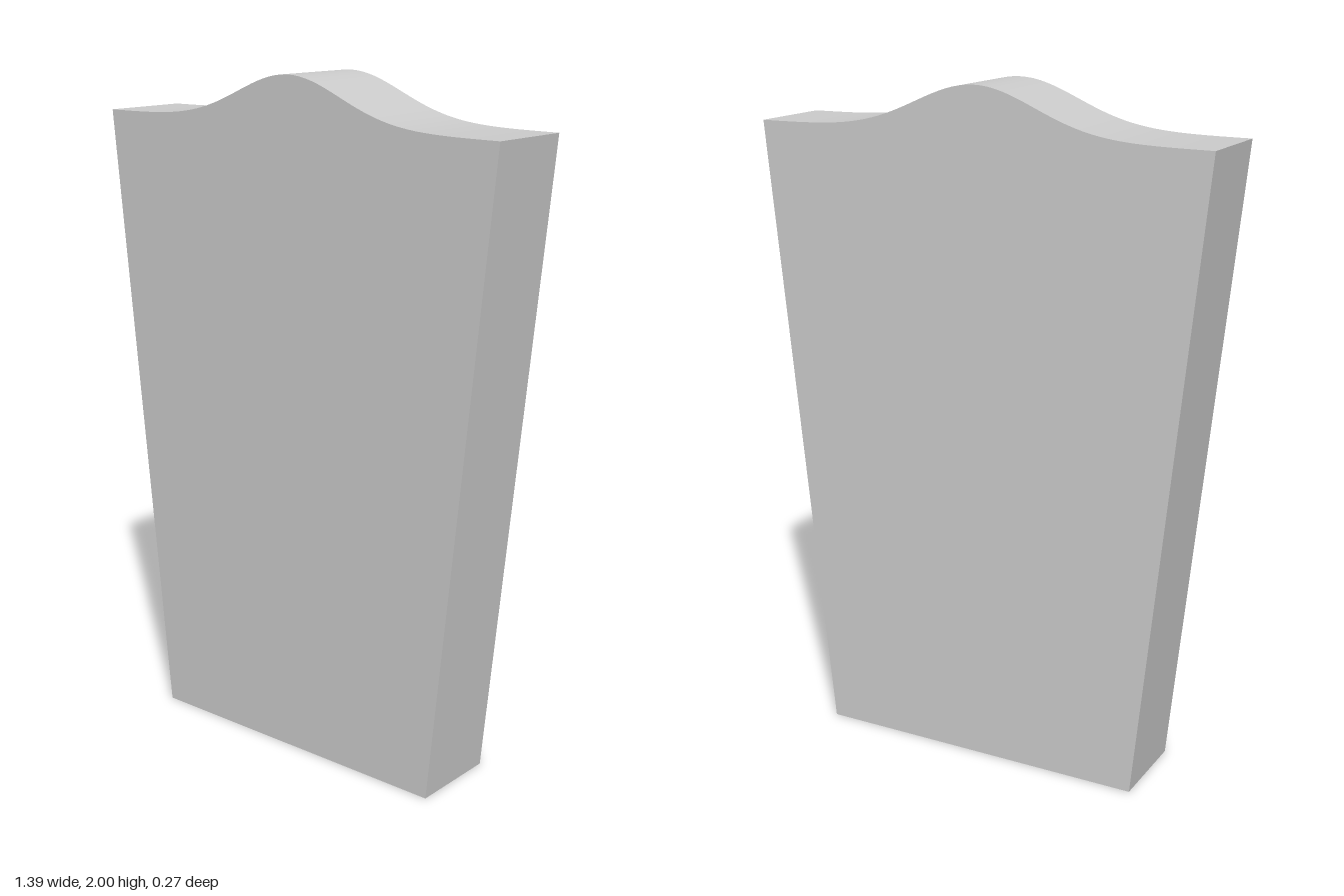
import * as THREE from 'three';
import { toCreasedNormals } from 'three/addons/utils/BufferGeometryUtils.js';

const TOP = 0.695, BOTTOM = 0.508, SHOULDER = 1.868, DEPTH = 0.272;

// Height of the crest: a smooth bell rising from flat shoulders
const crest = (x) => SHOULDER + (2 - SHOULDER) * Math.exp(-(x * x) / 0.067);

export function createModel() {
  const group = new THREE.Group();
  group.name = 'taperedSlab';

  // Tapered outline, closed along the top by the crest curve
  const outline = new THREE.Shape();
  outline.moveTo(-BOTTOM, 0);
  outline.lineTo(BOTTOM, 0);
  const steps = 64;
  for (let i = 0; i <= steps; i++) {
    const x = TOP * (1 - (2 * i) / steps);
    outline.lineTo(x, crest(x));
  }
  outline.closePath();

  // Flat slab, smooth along the crest and sharp at the edges
  const geometry = new THREE.ExtrudeGeometry(outline, { depth: DEPTH, bevelEnabled: false });
  geometry.translate(0, 0, -DEPTH / 2);
  const slab = new THREE.Mesh(
    toCreasedNormals(geometry, Math.PI / 6),
    new THREE.MeshStandardMaterial({ color: 0xcccccc })
  );
  slab.name = 'slab';
  group.add(slab);
  return group;
}
